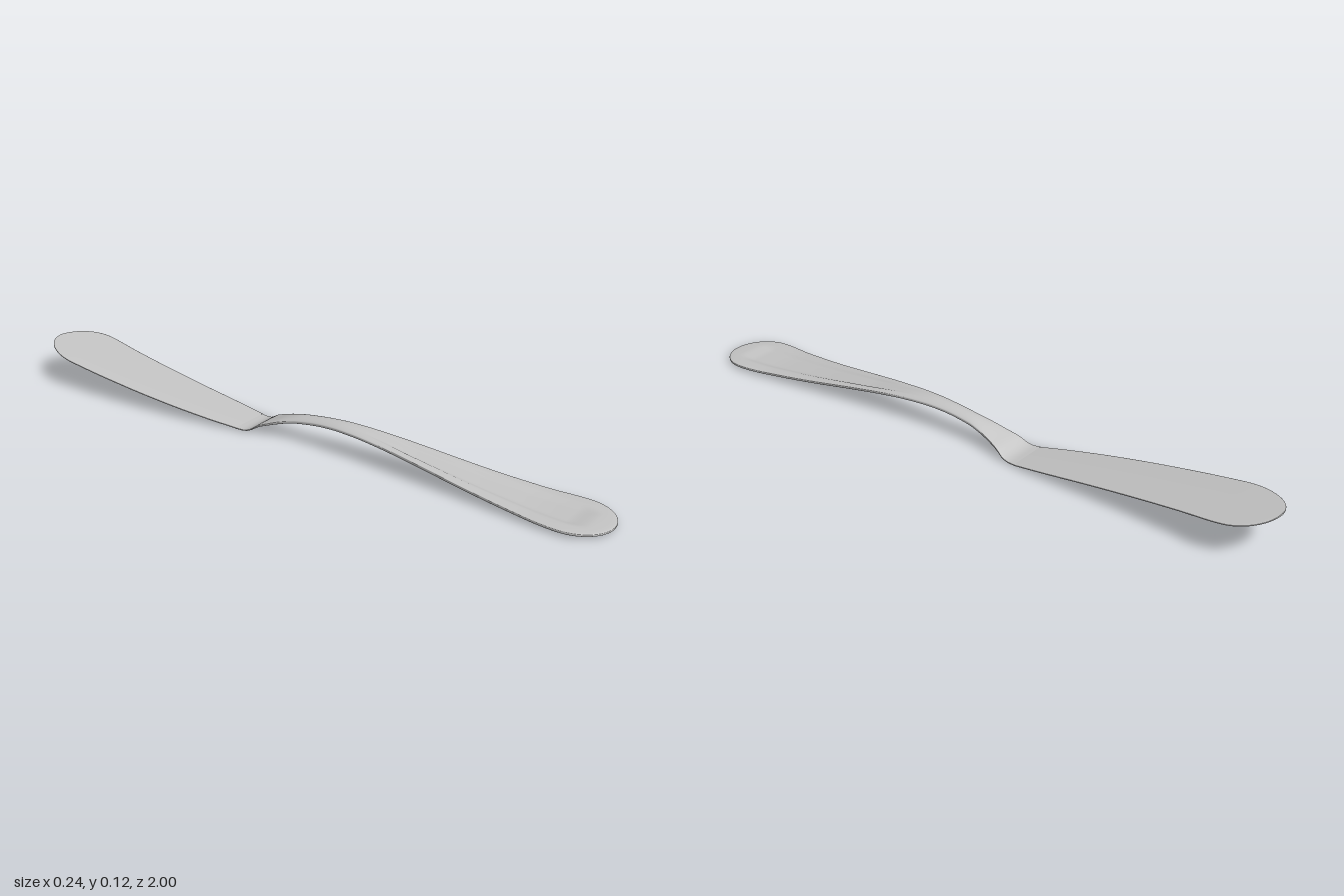
import * as THREE from 'three';

const smooth = THREE.MathUtils.smoothstep;

// Smooth interpolation (monotone cubic) through [z, value] pairs, z descending
function profile(points) {
  const slope = (i) => (points[i + 1][1] - points[i][1]) / (points[i + 1][0] - points[i][0]);
  const tangents = points.map((p, i) => {
    if (i === 0) return slope(0);
    if (i === points.length - 1) return slope(i - 1);
    const a = slope(i - 1), b = slope(i);
    return a * b <= 0 ? 0 : (2 * a * b) / (a + b);
  });
  return (z) => {
    let i = 0;
    while (i < points.length - 2 && z < points[i + 1][0]) i++;
    const h = points[i + 1][0] - points[i][0];
    const t = (z - points[i][0]) / h, s = 1 - t;
    return points[i][1] * (1 + 2 * t) * s * s + tangents[i] * h * t * s * s
      + points[i + 1][1] * t * t * (3 - 2 * t) - tangents[i + 1] * h * t * t * s;
  };
}

// Rounds a width off to zero over the last r units before the end
const cap = (d, r) => (d >= r ? 1 : Math.sqrt(Math.max(0, 1 - (1 - d / r) ** 2)));

// Lofts closed flat sections with a rounded rim along a list of z values
function loft(zs, section) {
  const ring = 80, pos = [], index = [];
  zs.forEach((z, i) => {
    const { left, right, half, mid } = section(z);
    for (let j = 0; j < ring; j++) {
      const a = (j / ring) * Math.PI * 2;
      const u = Math.cos(a), s = Math.sin(a);
      const x = THREE.MathUtils.lerp(left, right, (u + 1) / 2);
      pos.push(x, mid(u) + Math.sign(s) * Math.abs(s) ** 0.35 * half, z);
      if (i === zs.length - 1) continue;
      const k = (j + 1) % ring;
      const A = i * ring + j, B = i * ring + k, C = A + ring, D = B + ring;
      index.push(A, C, B, B, C, D);
    }
  });
  const geo = new THREE.BufferGeometry();
  geo.setAttribute('position', new THREE.Float32BufferAttribute(pos, 3));
  geo.setIndex(index);
  geo.computeVertexNormals();
  return geo;
}

// z values from a to b; the rounded end is sampled more densely
const range = (n, f) => Array.from({ length: n + 1 }, (_, i) => f(i / n));

export function createModel() {
  const group = new THREE.Group();
  const steel = new THREE.MeshStandardMaterial({ color: 0xc4c4c4 });
  steel.name = 'brushed steel';

  // Handle: arched, dished towards its end, crowned at the neck
  const height = profile([[1, 0.01], [0.9, 0.0135], [0.8, 0.0165], [0.7, 0.024], [0.6, 0.034], [0.4, 0.059],
    [0.3, 0.07], [0.2, 0.077], [0.15, 0.078], [0.1, 0.076], [0, 0.064], [-0.05, 0.053], [-0.1, 0.037],
    [-0.13, 0.026], [-0.15, 0.013], [-0.175, 0.006], [-0.2, 0.007]]);
  const handleWidth = profile([[1, 0.107], [0.88, 0.107], [0.75, 0.093], [0.6, 0.076], [0.4, 0.055],
    [0.2, 0.037], [0.05, 0.029], [0, 0.03], [-0.05, 0.036], [-0.1, 0.046], [-0.15, 0.06], [-0.2, 0.067]]);
  const handleSection = (z) => {
    const round = cap(1 - z, 0.115);
    const w = handleWidth(z) * round;
    const dish = 0.007 * smooth(z, 0.15, 0.4) * (1 - smooth(z, 0.88, 0.95));
    const crown = 0.007 * smooth(z, -0.12, 0.02) * (1 - smooth(z, 0.15, 0.45));
    const half = THREE.MathUtils.lerp(0.003, 0.0065, smooth(z, -0.18, -0.05)) * Math.max(0.4, round ** 0.35);
    return {
      left: -w, right: w, half,
      mid: (u) => height(z) + crown * (1 - u * u) - dish * (1 - smooth(Math.abs(u), 0.35, 0.65)),
    };
  };
  const handle = new THREE.Mesh(loft(range(130, (t) => 1 - 1.2 * t ** 1.4), handleSection), steel);
  handle.name = 'handle';

  // Blade: thin flat sheet rising to the tip, belly on one side
  const bladeLeft = profile([[-0.2, -0.066], [-0.3, -0.086], [-0.45, -0.106], [-0.6, -0.117],
    [-0.75, -0.121], [-0.85, -0.12], [-1, -0.112]]);
  const bladeRight = profile([[-0.2, 0.068], [-0.3, 0.074], [-0.45, 0.08], [-0.6, 0.089],
    [-0.75, 0.102], [-0.88, 0.117], [-1, 0.12]]);
  const bladeSection = (z) => {
    const rise = 0.007 + ((-0.2 - z) / 0.8) * 0.111;
    return {
      left: bladeLeft(z) * cap(1 + z, 0.17), right: bladeRight(z) * cap(1 + z, 0.115),
      half: 0.003, mid: () => rise,
    };
  };
  const blade = new THREE.Mesh(loft(range(80, (t) => -1 + 0.8 * (1 - t) ** 1.8), bladeSection), steel);
  blade.name = 'blade';

  group.add(handle, blade);
  return group;
}
